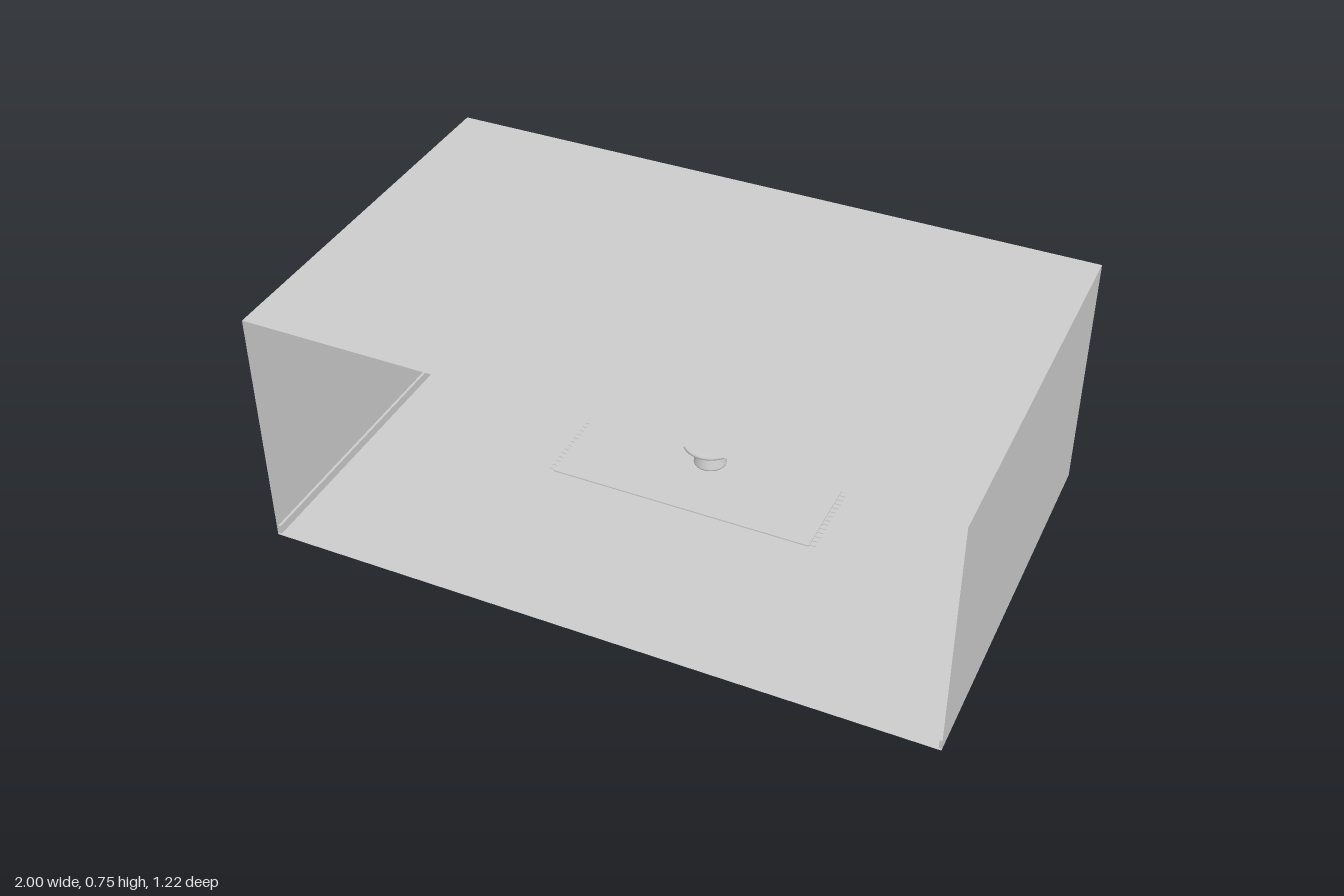
import * as THREE from 'three';
import { RoundedBoxGeometry } from 'three/addons/geometries/RoundedBoxGeometry.js';

const plaster = new THREE.MeshStandardMaterial({ color: 0xcccccc, side: THREE.DoubleSide });
plaster.name = 'plaster grey';

function add(parent, name, geometry, x = 0, y = 0, z = 0) {
  const mesh = new THREE.Mesh(geometry, plaster);
  mesh.name = name;
  mesh.position.set(x, y, z);
  parent.add(mesh);
  return mesh;
}
function group(parent, name, x = 0, y = 0, z = 0) {
  const g = new THREE.Group();
  g.name = name;
  g.position.set(x, y, z);
  parent.add(g);
  return g;
}
const box = (w, h, d) => new THREE.BoxGeometry(w, h, d);
const soft = (w, h, d, r) => new RoundedBoxGeometry(w, h, d, 4, r);
const lathe = (points, sides = 32) =>
  new THREE.LatheGeometry(points.map(([r, y]) => new THREE.Vector2(r, y)), sides);

const BACK = -0.592, FRONT = 0.61, HEIGHT = 0.75;

// Room shell, open at the front
function buildRoom(parent) {
  const room = group(parent, 'room');
  const depth = FRONT - BACK, mid = (FRONT + BACK) / 2;
  add(room, 'floor', new THREE.PlaneGeometry(2, depth), 0, 0, mid).rotation.x = -Math.PI / 2;
  add(room, 'ceiling', new THREE.PlaneGeometry(2, depth), 0, HEIGHT, mid).rotation.x = -Math.PI / 2;
  add(room, 'backWall', new THREE.PlaneGeometry(2, HEIGHT), 0, HEIGHT / 2, BACK);
  add(room, 'backBaseboard', box(1.98, 0.028, 0.008), 0, 0.015, BACK + 0.005);
  for (const s of [-1, 1]) {
    add(room, 'sideWall', new THREE.PlaneGeometry(depth, HEIGHT), s, HEIGHT / 2, mid).rotation.y = s * Math.PI / 2;
    add(room, 'sideBaseboard', box(0.008, 0.028, depth - 0.01), s * 0.995, 0.015, mid);
  }
}

// Rug with a fringe on its two short ends
function buildRug(parent) {
  const rug = group(parent, 'rug', 0, 0, -0.25);
  add(rug, 'rugBody', box(0.82, 0.004, 0.56), 0, 0.003, 0);
  for (const s of [-1, 1])
    for (let i = 0; i < 28; i++)
      add(rug, 'tassel', box(0.02, 0.002, 0.005), s * 0.418, 0.002, -0.27 + i * 0.02);
}

// Three-seat sofa
function buildSofa(parent) {
  const sofa = group(parent, 'sofa', 0, 0, -0.457);
  add(sofa, 'baseFrame', soft(0.555, 0.042, 0.225, 0.006), 0, 0.048, 0);
  add(sofa, 'backFrame', soft(0.555, 0.14, 0.045, 0.014), 0, 0.135, -0.088);
  for (const s of [-1, 1]) {
    add(sofa, 'arm', soft(0.05, 0.115, 0.215, 0.015), s * 0.252, 0.123, 0.003);
    for (const z of [-0.098, 0.098])
      add(sofa, 'leg', new THREE.CylinderGeometry(0.007, 0.005, 0.03, 12), s * 0.26, 0.015, z);
  }
  for (const i of [-1, 0, 1]) {
    add(sofa, 'seatCushion', soft(0.149, 0.036, 0.17, 0.012), i * 0.151, 0.086, 0.022);
    const back = add(sofa, 'backCushion', soft(0.147, 0.1, 0.045, 0.018), i * 0.151, 0.15, -0.05);
    back.rotation.x = -0.12;
  }
  // Loose pillows, pinched towards their edges
  for (const [x, w, turn] of [[-0.165, 0.11, 0.06], [0, 0.155, 0], [0.165, 0.115, -0.06]]) {
    const g = new THREE.SphereGeometry(1, 28, 18);
    const p = g.attributes.position;
    const square = v => Math.sign(v) * Math.pow(Math.abs(v), 0.4);
    for (let i = 0; i < p.count; i++)
      p.setXYZ(i, square(p.getX(i)) * w / 2, square(p.getY(i)) * 0.05, p.getZ(i) * 0.022);
    g.computeVertexNormals();
    add(sofa, 'pillow', g, x, 0.158, -0.012).rotation.set(-0.22, 0, turn);
  }
}

// Round coffee table on a flared pedestal, with a small bowl
function buildCoffeeTable(parent) {
  const table = group(parent, 'coffeeTable', 0, 0.005, -0.205);
  add(table, 'pedestal', lathe([[0, 0], [0.05, 0], [0.05, 0.004], [0.042, 0.03], [0.036, 0.05], [0.04, 0.066]]));
  add(table, 'tableTop', lathe([[0, 0.064], [0.076, 0.064], [0.083, 0.068], [0.084, 0.073], [0.081, 0.078], [0, 0.078]], 40));
  add(table, 'bowl', lathe([[0, 0.079], [0.01, 0.079], [0.022, 0.09], [0.025, 0.098], [0.022, 0.097], [0.012, 0.085], [0, 0.083]]), 0.005, 0, 0);
  add(table, 'book', box(0.04, 0.007, 0.028), -0.035, 0.082, 0.02).rotation.y = 0.4;
}

// Slim side table with a vase
function buildSideTable(parent) {
  const table = group(parent, 'sideTable', -0.38, 0, -0.47);
  add(table, 'foot', new THREE.CylinderGeometry(0.032, 0.034, 0.004, 32), 0, 0.003, 0);
  add(table, 'post', new THREE.CylinderGeometry(0.005, 0.005, 0.13, 16), 0, 0.067, 0);
  add(table, 'sideTableTop', new THREE.CylinderGeometry(0.054, 0.054, 0.006, 36), 0, 0.135, 0);
  add(table, 'vase', lathe([[0, 0.138], [0.01, 0.138], [0.013, 0.144], [0.021, 0.158], [0.022, 0.168],
    [0.017, 0.184], [0.009, 0.194], [0.008, 0.199], [0.005, 0.199], [0.005, 0.19]], 24));
}

// Leaf blade: folded cross-sections along the outer half of a stem curve
function bladeGeometry(curve, width) {
  const N = 12, pos = [], index = [];
  for (let i = 0; i <= N; i++) {
    const u = i / N, t = 0.52 + 0.48 * u;
    const c = curve.getPoint(t), d = curve.getTangent(t);
    const side = new THREE.Vector3(d.z, 0, -d.x).normalize();
    const w = width * Math.pow(Math.sin(Math.PI * Math.pow(u, 0.8)), 0.8) || 0;
    for (const s of [-1, 0, 1])
      pos.push(c.x + side.x * s * w, c.y + Math.abs(s) * w * 0.25, c.z + side.z * s * w);
    if (i < N)
      for (const k of [0, 1]) {
        const a = i * 3 + k;
        index.push(a, a + 3, a + 1, a + 1, a + 3, a + 4);
      }
  }
  const g = new THREE.BufferGeometry();
  g.setAttribute('position', new THREE.Float32BufferAttribute(pos, 3));
  g.setIndex(index);
  g.computeVertexNormals();
  return g;
}

// Potted plant with arching leaves, given by the position of each tip
function buildPlant(parent) {
  const plant = group(parent, 'pottedPlant', 0.406, 0, -0.46);
  add(plant, 'pot', lathe([[0, 0.001], [0.043, 0.001], [0.052, 0.076], [0.056, 0.077], [0.056, 0.09], [0.05, 0.09], [0.048, 0.078], [0, 0.078]]));
  const tips = [
    [-0.146, 0.325, 0.03], [-0.12, 0.245, 0.07], [-0.14, 0.24, -0.06], [-0.036, 0.245, -0.15],
    [-0.13, 0.32, -0.13], [0.02, 0.28, -0.132], [0.163, 0.325, 0], [0.11, 0.32, 0.08],
    [0.15, 0.24, 0.03], [0.1, 0.24, -0.08], [0.03, 0.31, 0.1], [-0.04, 0.3, 0.07], [0.07, 0.265, 0.13], [-0.05, 0.26, 0.13],
  ];
  tips.forEach(([x, y, z], i) => {
    const a = i * 2.4;
    const curve = new THREE.QuadraticBezierCurve3(
      new THREE.Vector3(0.018 * Math.cos(a), 0.075, 0.018 * Math.sin(a)),
      new THREE.Vector3(x * 0.25, y + 0.06, z * 0.25),
      new THREE.Vector3(x, y, z));
    const stem = new THREE.CatmullRomCurve3([0, 0.14, 0.28, 0.42, 0.56].map(t => curve.getPoint(t)));
    add(plant, 'stem', new THREE.TubeGeometry(stem, 10, 0.0028, 6));
    add(plant, 'leaf', bladeGeometry(curve, 0.015));
  });
}

export function createModel() {
  const model = new THREE.Group();
  model.name = 'livingRoom';
  buildRoom(model);
  buildRug(model);
  buildSofa(model);
  buildCoffeeTable(model);
  buildSideTable(model);
  buildPlant(model);
  return model;
}
